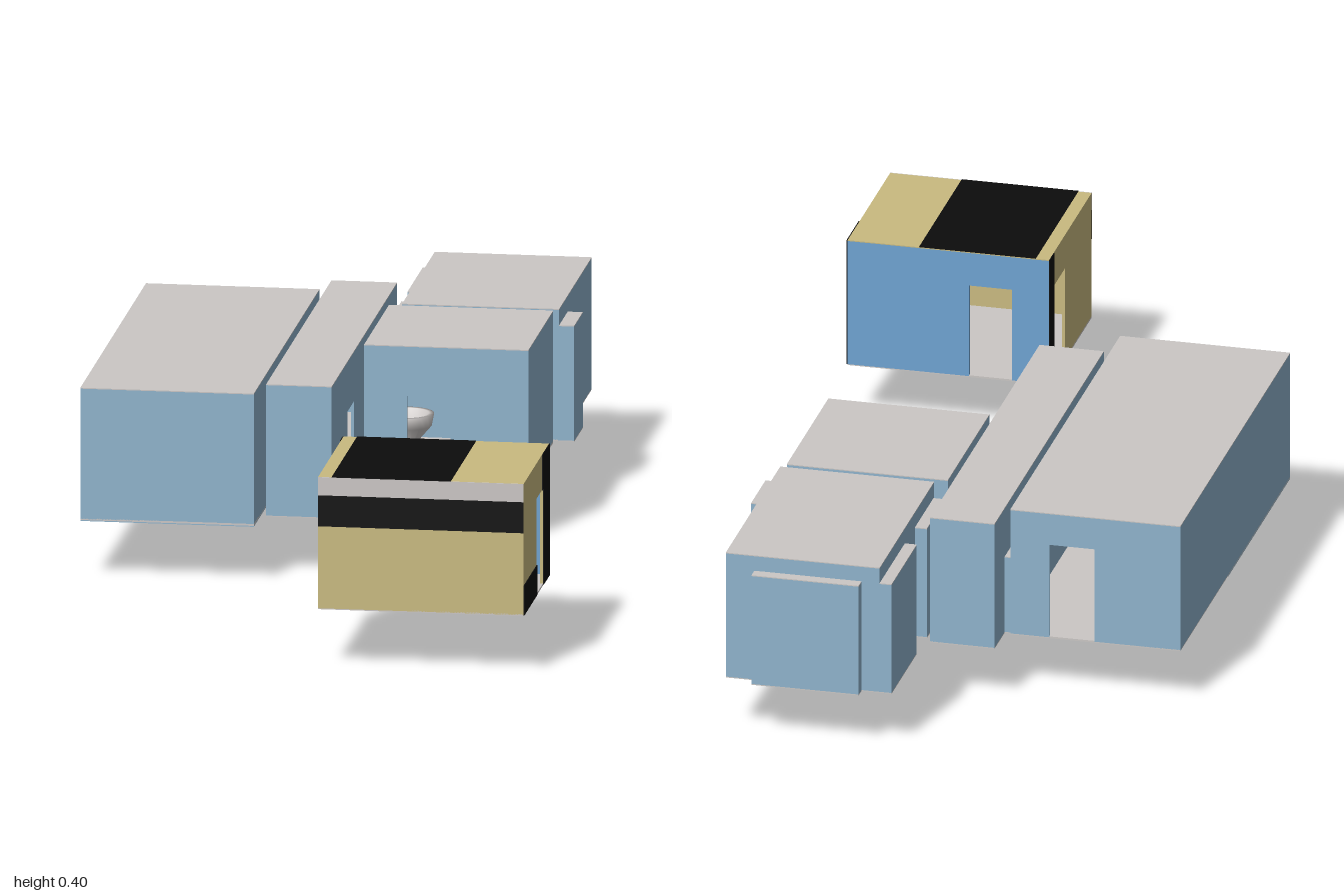
import * as THREE from 'three';

const mat = (name, color) => {
  const m = new THREE.MeshStandardMaterial({ color });
  m.name = name;
  return m;
};

const Y0 = 0.125, Y1 = 0.4, T = 0.006, SKIN = 0.002;

export function createModel() {
  const model = new THREE.Group();
  model.name = 'buildingComplex';
  const blue = mat('pale blue', 0x8fb3cc), deepBlue = mat('deep blue', 0x6fa3d2);
  const gold = mat('sand', 0xc9ba80), black = mat('black', 0x0c0c0c);
  const gray = mat('light gray', 0xcbc7c5);

  // box given by its extents
  function block(parent, name, m, x0, x1, y0, y1, z0, z1) {
    const mesh = new THREE.Mesh(new THREE.BoxGeometry(x1 - x0, y1 - y0, z1 - z0), m);
    mesh.position.set((x0 + x1) / 2, (y0 + y1) / 2, (z0 + z1) / 2);
    mesh.name = name;
    parent.add(mesh);
    return mesh;
  }

  // upright slab from a to b with doorways [start, end, top] cut from its foot
  function slab(a, b, doors) {
    const s = new THREE.Shape();
    s.moveTo(a, Y0);
    for (const [d0, d1, top] of doors) {
      s.lineTo(d0, Y0);
      s.lineTo(d0, top);
      s.lineTo(d1, top);
      s.lineTo(d1, Y0);
    }
    s.lineTo(b, Y0);
    s.lineTo(b, Y1 - SKIN);
    s.lineTo(a, Y1 - SKIN);
    s.closePath();
    return new THREE.ExtrudeGeometry(s, { depth: T, bevelEnabled: false });
  }

  // hollow room: four walls with doorways, floor and roof
  function room(name, x0, x1, z0, z1, { walls = blue, backWall = walls, roof = gray, doors = {} } = {}) {
    const g = new THREE.Group();
    g.name = name;
    const add = (part, geo, m) => {
      const mesh = new THREE.Mesh(geo, m);
      mesh.name = part;
      g.add(mesh);
    };
    add('frontWall', slab(x0, x1, doors.front || []).translate(0, 0, z1 - T), walls);
    add('backWall', slab(x0, x1, doors.back || []).translate(0, 0, z0), backWall);
    for (const [side, x] of [['right', x0], ['left', x1 - T]]) {
      const cut = (doors[side] || []).map(([a, b, top]) => [-b, -a, top]);
      add(side + 'Wall', slab(-z1 + T, -z0 - T, cut).rotateY(Math.PI / 2).translate(x, 0, 0), walls);
    }
    block(g, 'floor', gray, x0, x1, Y0 - SKIN, Y0 + SKIN, z0, z1);
    block(g, 'roof', roof, x0, x1, Y1 - SKIN, Y1, z0, z1);
    model.add(g);
    return g;
  }

  // main rooms
  const hall = room('longHall', -0.51, -0.153, -0.62, 0.3, { doors: { back: [[-0.33, -0.235, 0.33]] } });
  block(hall, 'hallUnderside', blue, -0.51, -0.153, Y0 - 0.004, Y0 - SKIN, -0.22, 0.3);
  room('corridor', -0.14, -0.005, -0.7, 0.215, { doors: { left: [[-0.097, -0.005, 0.295]] } });
  const wash = room('washRoom', 0.007, 0.345, -0.505, -0.157, { doors: { front: [[0.095, 0.185, 0.295]] } });
  room('rearRoom', 0.032, 0.355, -0.976, -0.52);

  // lower bays on the rear room and links between rooms, each with a gray cap
  const annexes = [
    ['sideBay', 0.355, 0.386, 0.366, -0.64, -0.52],
    ['backBay', 0.07, 0.295, 0.366, -1, -0.976],
    ['cornerBay', 0.007, 0.032, 0.366, -0.976, -0.765],
    ['innerBay', 0.007, 0.032, 0.366, -0.68, -0.525],
    ['hallLink', -0.153, -0.14, 0.292, -0.615, -0.535],
    ['corridorLink', -0.005, 0.007, 0.292, -0.615, -0.53],
    ['washLink', 0.02, 0.1, 0.292, -0.52, -0.505],
  ];
  for (const [name, x0, x1, top, z0, z1] of annexes) {
    block(model, name, blue, x0, x1, Y0, top - SKIN, z0, z1);
    block(model, name + 'Cap', gray, x0, x1, top - SKIN, top, z0, z1);
    block(model, name + 'Base', gray, x0, x1, Y0 - SKIN, Y0, z0, z1);
  }
  block(model, 'hallSwitch', black, -0.147, -0.14, 0.21, 0.26, -0.32, -0.24);

  // basin with a pedestal
  const bowl = new THREE.Mesh(new THREE.LatheGeometry(
    [[0.025, 0], [0.02, 0.04], [0.05, 0.075], [0.055, 0.1], [0.045, 0.1], [0.03, 0.075], [0, 0.07]]
      .map(([r, y]) => new THREE.Vector2(r, y)), 20), gray);
  bowl.name = 'basin';
  bowl.position.set(0.075, Y0, -0.3);
  wash.add(bowl);

  // drain pipe, widening toward its open end
  const path = new THREE.CatmullRomCurve3([[0.043, 0.127], [0.037, 0.08], [0.028, 0.048],
    [0.01, 0.029], [-0.02, 0.025], [-0.06, 0.023]].map(([x, y]) => new THREE.Vector3(x, y, -0.3)));
  const SEG = 20, RAD = 16;
  const tube = new THREE.TubeGeometry(path, SEG, 0.012, RAD, false);
  const pos = tube.attributes.position, p = new THREE.Vector3();
  for (let i = 0; i < pos.count; i++) {
    const t = Math.floor(i / (RAD + 1)) / SEG, c = path.getPointAt(t);
    p.fromBufferAttribute(pos, i).sub(c).multiplyScalar(0.85 + 0.83 * t).add(c);
    pos.setXYZ(i, p.x, p.y, p.z);
  }
  tube.computeVertexNormals();
  const pipe = new THREE.Mesh(tube, gray);
  pipe.name = 'drainPipe';
  model.add(pipe);
  const end = new THREE.Mesh(new THREE.CircleGeometry(0.02, RAD).rotateY(-Math.PI / 2), gray);
  end.name = 'pipeEnd';
  end.position.set(-0.06, 0.023, -0.3);
  model.add(end);

  // detached hut
  const X0 = 0.082, X1 = 0.505, Z0 = 0.642, Z1 = 0.998;
  const hut = room('hut', X0, X1, Z0, Z1, {
    walls: gold, backWall: deepBlue, roof: gold,
    doors: { left: [[0.727, 0.818, 0.326]], right: [[0.682, 0.774, 0.326]], back: [[0.16, 0.25, 0.326]] },
  });
  // painted bands
  block(hut, 'frontGrayBand', gray, X0, X1, 0.362, Y1, Z1, Z1 + SKIN);
  block(hut, 'frontBlackBand', black, X0, X1, 0.297, 0.362, Z1, Z1 + SKIN);
  block(hut, 'roofBand', black, 0.11, 0.355, Y1, Y1 + SKIN / 2, Z0, Z1 + SKIN);
  block(hut, 'doorBand', black, X1, X1 + SKIN, Y0, Y1, Z0, 0.727);
  block(hut, 'lintelBand', black, X1, X1 + SKIN, 0.326, Y1, 0.727, 0.743);
  block(hut, 'footBand', black, X1, X1 + SKIN, Y0, 0.187, 0.818, Z1);
  block(hut, 'rightCornerBand', black, X0 - SKIN, X0, Y0, Y1, Z0, 0.68);

  return model;
}
